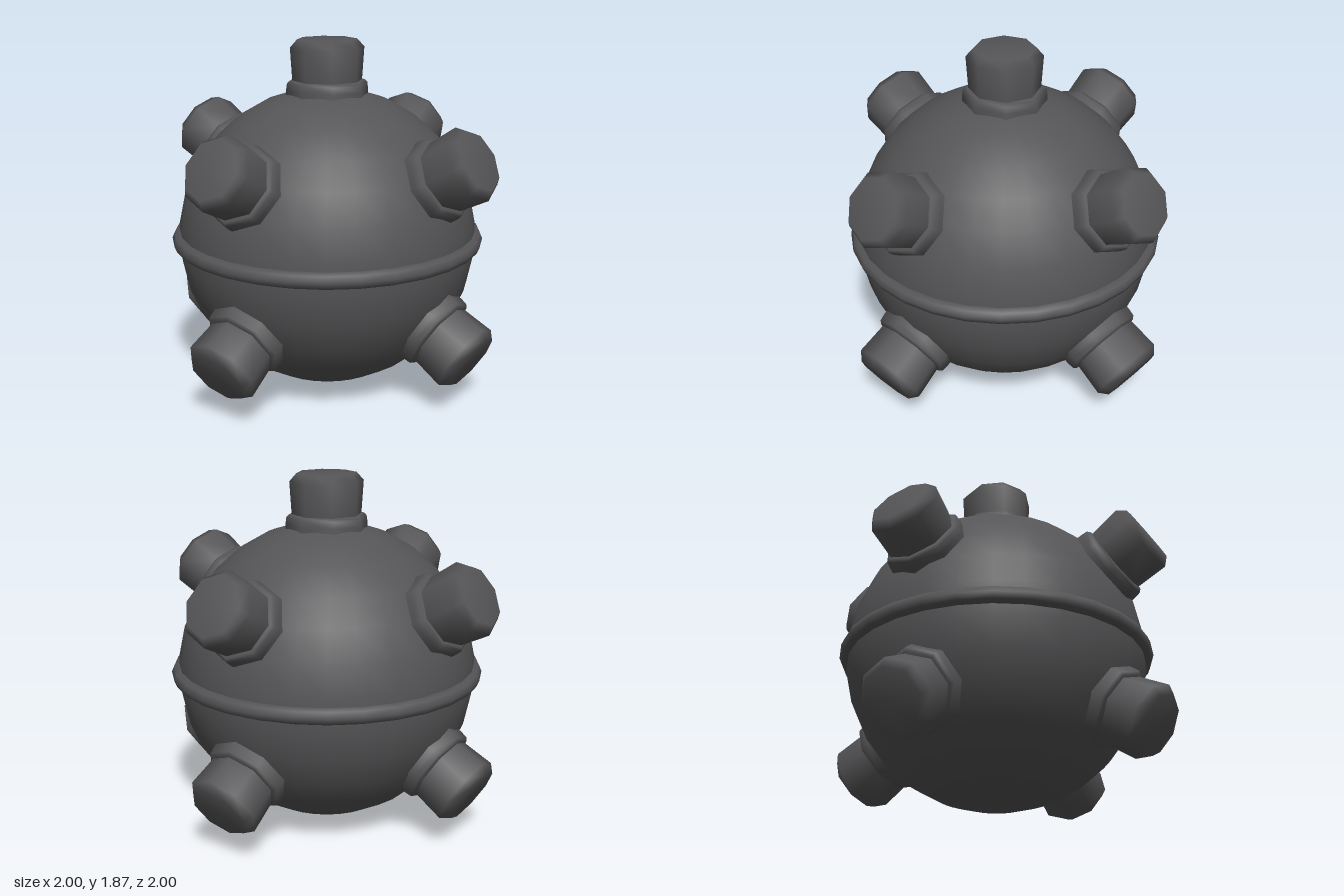
import * as THREE from 'three';

const CENTRE_Y = 0.807;

export function createModel() {
  const model = new THREE.Group();
  model.name = 'navalMine';
  const steel = new THREE.MeshStandardMaterial({ color: 0x555557 });
  steel.name = 'dark steel';

  const add = (name, geometry) => {
    const mesh = new THREE.Mesh(geometry, steel);
    mesh.name = name;
    mesh.position.y = CENTRE_Y;
    model.add(mesh);
    return mesh;
  };

  // Round shell with a welded seam around the equator
  add('shell', new THREE.SphereGeometry(0.807, 30, 15));
  add('equatorSeam', new THREE.TorusGeometry(0.8, 0.045, 8, 30).rotateX(Math.PI / 2));

  // Eight-sided lathes, measured outward from the shell centre
  const lathe = (profile) =>
    new THREE.LatheGeometry(profile.map(([r, y]) => new THREE.Vector2(r, y)), 8);
  const collar = lathe([[0.222, 0.74], [0.22, 0.8], [0.215, 0.835], [0.2, 0.848], [0.17, 0.85]]);
  const horn = lathe([[0.185, 0.78], [0.187, 0.85], [0.198, 1.02], [0.16, 1.063], [0, 1.063]]);

  // tilt is measured from straight up, turn is around the vertical axis
  const addHorn = (name, tilt, turn) => {
    for (const [part, geometry] of [['Collar', collar], ['Horn', horn]]) {
      const mesh = add(name + part, geometry);
      mesh.rotation.set(tilt, turn, 0, 'YXZ');
    }
  };

  addHorn('top', 0, 0);
  ['front', 'left', 'back', 'right'].forEach((side, i) => {
    addHorn(side + 'Upper', Math.PI / 3, i * Math.PI / 2);
    addHorn(side + 'Lower', 2 * Math.PI / 3, i * Math.PI / 2);
  });

  return model;
}
